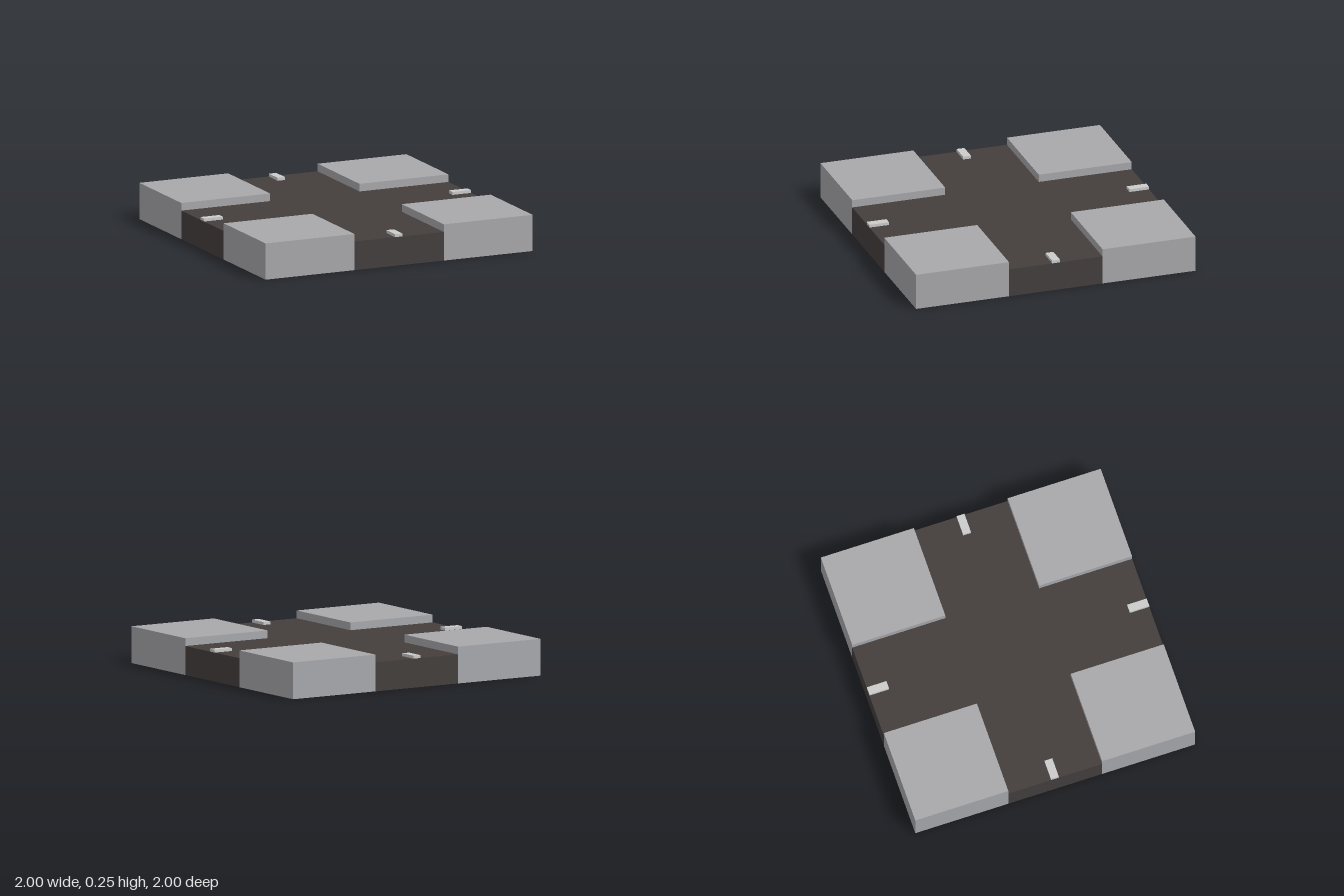
import * as THREE from 'three';

const HALF = 1, ROAD = 0.335, ROAD_TOP = 0.2, BLOCK_TOP = 0.253, GAP = 0.001;

const grey = new THREE.MeshStandardMaterial({ color: 0xa8a9ac });
const dark = new THREE.MeshStandardMaterial({ color: 0x443f3d });
const light = new THREE.MeshStandardMaterial({ color: 0xcccccc });

// Box standing on height y0
function box(name, w, h, d, x, y0, z, material) {
  const mesh = new THREE.Mesh(new THREE.BoxGeometry(w, h, d), material);
  mesh.position.set(x, y0 + h / 2, z);
  mesh.name = name;
  return mesh;
}

export function createModel() {
  const model = new THREE.Group();
  model.name = 'crossroadsTile';

  // Cross-shaped road slab
  const r = ROAD, e = HALF;
  const outline = [[-r, -e], [r, -e], [r, -r], [e, -r], [e, r], [r, r],
    [r, e], [-r, e], [-r, r], [-e, r], [-e, -r], [-r, -r]];
  const cross = new THREE.Shape(outline.map(([x, y]) => new THREE.Vector2(x, y)));
  const roadGeometry = new THREE.ExtrudeGeometry(cross, { depth: ROAD_TOP - GAP, bevelEnabled: false });
  roadGeometry.rotateX(-Math.PI / 2);
  const road = new THREE.Mesh(roadGeometry, dark);
  road.position.y = GAP;
  road.name = 'road';
  model.add(road);

  // Raised pavement blocks in the four corners
  const size = HALF - ROAD, centre = (HALF + ROAD) / 2;
  for (const sx of [-1, 1]) {
    for (const sz of [-1, 1]) {
      model.add(box('pavement', size, BLOCK_TOP - GAP, size, sx * centre, GAP, sz * centre, grey));
    }
  }

  // Lane marker at the outer end of each road arm
  for (const s of [-1, 1]) {
    model.add(box('laneMarker', 0.056, 0.02, 0.14, -0.002, ROAD_TOP, s * 0.93, light));
    model.add(box('laneMarker', 0.14, 0.02, 0.056, s * 0.93, ROAD_TOP, -0.002, light));
  }

  // Grey underside
  const underside = new THREE.Mesh(new THREE.PlaneGeometry(2 * HALF, 2 * HALF), grey);
  underside.rotation.x = Math.PI / 2;
  underside.name = 'underside';
  model.add(underside);

  return model;
}
